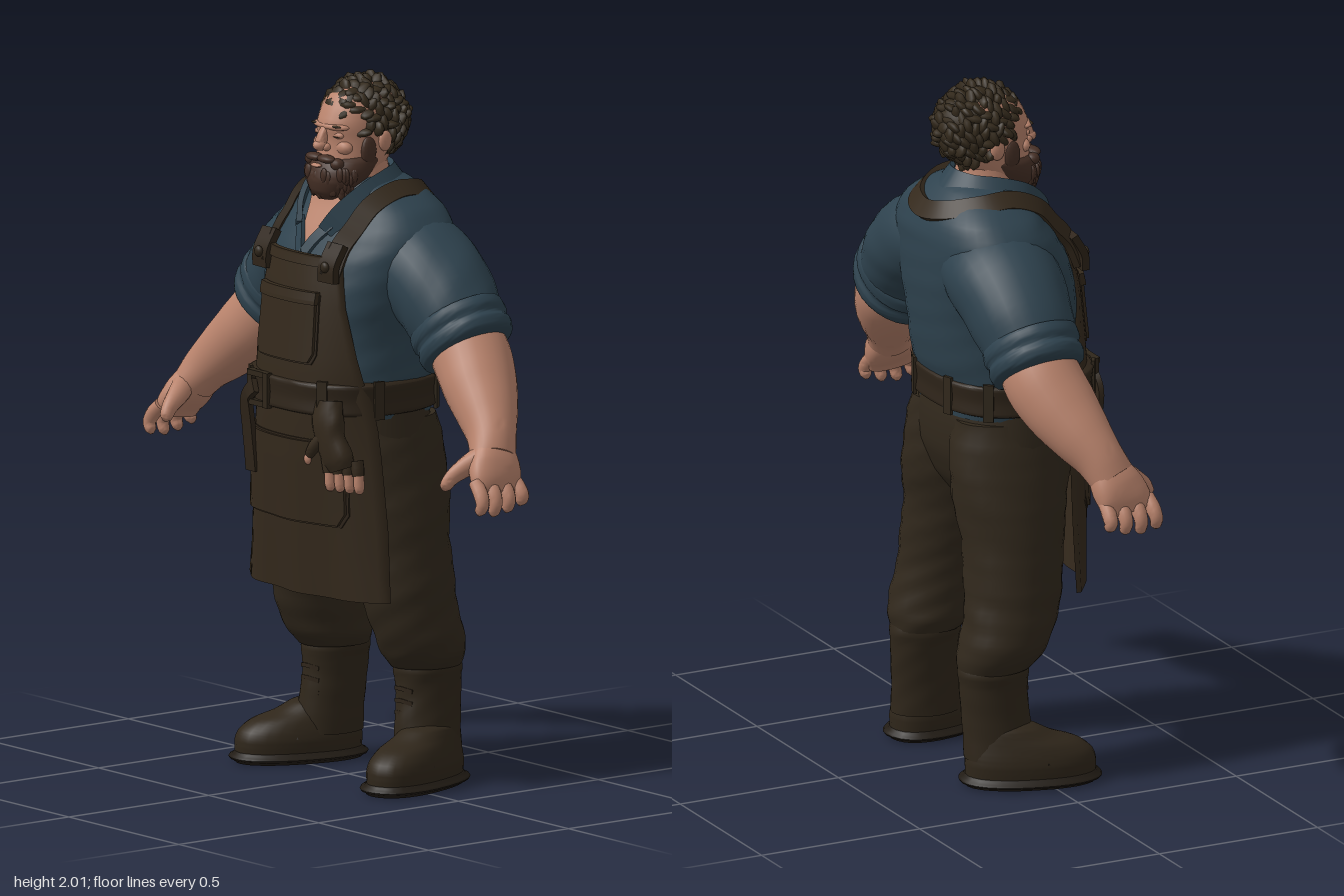
import * as THREE from 'three';
import { mergeGeometries, toCreasedNormals } from 'three/addons/utils/BufferGeometryUtils.js';

const V = (x, y, z) => new THREE.Vector3(x, y, z);
const mat = (name, color) => Object.assign(new THREE.MeshStandardMaterial({ color }), { name });

// Skin a list of equal rings into a closed solid, always facing outwards
function solid(rings) {
  const n = rings[0].length, m = rings.length, idx = [];
  const quad = (a, b, c, d) => idx.push(a, b, c, a, c, d);
  for (let k = 0; k < m - 1; k++) for (let i = 0; i < n; i++) {
    const j = (i + 1) % n;
    quad(k * n + i, k * n + j, (k + 1) * n + j, (k + 1) * n + i);
  }
  const e = (m - 1) * n;
  for (let i = 0; i < n / 2 - 1; i++) {
    quad(i, n - 1 - i, n - 2 - i, i + 1);
    quad(e + i, e + i + 1, e + n - 2 - i, e + n - 1 - i);
  }
  const p = rings.flat();
  let vol = 0;
  for (let i = 0; i < idx.length; i += 3) vol += p[idx[i]].dot(p[idx[i + 1]].clone().cross(p[idx[i + 2]]));
  if (vol < 0) idx.reverse();
  const g = new THREE.BufferGeometry().setFromPoints(p);
  g.setIndex(idx);
  return toCreasedNormals(g, 1);
}

// Loft of rows [x, y, z, ru, rv]; flat keeps sections level, otherwise they follow the path
function loft(rows, { flat = false, p = 2, n = 28, wrinkle = 0, s = 1 } = {}) {
  const path = new THREE.CatmullRomCurve3(rows.map(r => V(r[0] * s, r[1], r[2])));
  const rad = new THREE.CatmullRomCurve3(rows.map(r => V(r[3], r[4], 0)));
  const m = (rows.length - 1) * 4, rings = [];
  for (let k = 0; k <= m; k++) {
    const c = path.getPoint(k / m), r = rad.getPoint(k / m), t = path.getTangent(k / m);
    let u = V(1, 0, 0), v = V(0, 0, 1);
    if (!flat) { v.addScaledVector(t, -t.z).normalize(); u = v.clone().cross(t); }
    rings.push(Array.from({ length: n }, (_, i) => {
      const a = i / n * Math.PI * 2, q = x => Math.sign(x) * Math.abs(x) ** (2 / p);
      const w = 1 + wrinkle * Math.sin(3 * a * s + c.y * 55) * Math.sin(2 * a + c.y * 23);
      return c.clone().addScaledVector(u, q(Math.cos(a)) * r.x * w).addScaledVector(v, q(Math.sin(a)) * r.y * w);
    }));
  }
  return solid(rings);
}
const level = (rows, o) => loft(rows.map(([y, z, rx, rz]) => [0, y, z, rx, rz]), { flat: true, ...o });

// Flat strap along points, its face turned away from a centre
function ribbon(pts, width, thick, centre) {
  const curve = new THREE.CatmullRomCurve3(pts.map(q => V(...q))), m = pts.length * 5;
  return solid(Array.from({ length: m + 1 }, (_, k) => {
    const c = curve.getPoint(k / m), t = curve.getTangent(k / m), o = c.clone().sub(V(...centre));
    o.addScaledVector(t, -o.dot(t)).normalize();
    const w = o.clone().cross(t);
    return [[-1, -1], [1, -1], [1, 1], [-1, 1]].map(([a, b]) =>
      c.clone().addScaledVector(w, a * width / 2).addScaledVector(o, b * thick / 2));
  }));
}
const mirrorPath = pts => [...pts, ...pts.slice(0, -1).reverse().map(([x, y, z]) => [-x, y, z])];

// Linear lookup in a table sorted by falling y
function at(rows, y) {
  let i = 0;
  while (i < rows.length - 2 && y < rows[i + 1][0]) i++;
  const f = THREE.MathUtils.clamp((rows[i][0] - y) / (rows[i][0] - rows[i + 1][0]), 0, 1);
  return rows[i].map((a, k) => a + (rows[i + 1][k] - a) * f);
}
// Sheet of rows [y, xLeft, xRight] lying on the surface z = zf(x, y)
function slab(rows, zf, off, thick, n = 20) {
  const top = rows[0][0], bot = rows[rows.length - 1][0], m = 14;
  return solid(Array.from({ length: m + 1 }, (_, k) => {
    const y = top + (bot - top) * k / m, [, l, r] = at(rows, y);
    const line = d => Array.from({ length: n }, (_, i) => {
      const x = l + (r - l) * i / (n - 1);
      return V(x, y, zf(x, y) + d);
    });
    return [...line(off + thick), ...line(off).reverse()];
  }));
}
const ball = (x, y, z, a, b, c, w = 14, h = 10) => new THREE.SphereGeometry(1, w, h).scale(a, b, c).translate(x, y, z);
const box = (x, y, z, a, b, c) => new THREE.BoxGeometry(a, b, c).translate(x, y, z);

// Torso: y, z centre, half width, half depth
const TORSO = [[1.73, -.05, .08, .08], [1.71, -.06, .13, .11], [1.68, -.07, .19, .13], [1.64, -.075, .25, .155],
  [1.58, -.065, .295, .185], [1.5, -.045, .295, .208], [1.4, -.025, .272, .222], [1.3, -.015, .252, .222],
  [1.2, -.005, .255, .216], [1.15, 0, .255, .208], [1.06, 0, .245, .2]];
const torsoZ = (x, y) => { const [, c, a, b] = at(TORSO, y); return c + b * Math.max(0, 1 - Math.abs(x / a) ** 2.4) ** (1 / 2.4); };

// Apron: y, left edge, right edge, front z, fall-back at the edges
const APRON = [[1.52, -.14, .165, .183, .035], [1.4, -.165, .185, .208, .048], [1.2, -.215, .235, .227, .085],
  [1.08, -.245, .26, .229, .125], [.95, -.265, .275, .222, .125], [.75, -.29, .3, .205, .11], [.55, -.31, .315, .185, .085]];
function apronZ(x, y) {
  const [, l, r, z, d] = at(APRON, y), s = (x - (l + r) / 2) / ((r - l) / 2);
  const ripple = y < 1.05 ? .007 * (1.05 - y) / .5 * Math.sin(9 * s + 1) : 0;
  return z - d * Math.abs(s) ** 2.6 + ripple;
}

export function createModel() {
  const skin = mat('skin', 0xb9836c), shirt = mat('blue shirt', 0x2e424e), leather = mat('apron leather', 0x34291c),
    cloth = mat('trouser cloth', 0x31281c), boot = mat('boot leather', 0x2f261a), sole = mat('boot sole', 0x211b14),
    hair = mat('hair brown', 0x33291b), beardM = mat('beard brown', 0x452f25), belt = mat('belt leather', 0x2e2419);
  const model = new THREE.Group();
  const add = (name, m, ...geos) => {
    const parts = geos.map(q => (q.index ? q.toNonIndexed() : q).deleteAttribute('uv'));
    const mesh = new THREE.Mesh(mergeGeometries(parts), m);
    mesh.name = name;
    model.add(mesh);
  };
  let seed = 7;
  const rnd = () => (seed = (seed * 16807) % 2147483647) / 2147483647;

  // Shirt body, open neck and collar
  add('shirtBody', shirt, level(TORSO, { n: 40, p: 2.4, wrinkle: .008 }));
  add('openNeckSkin', skin, slab([[1.69, -.085, .085], [1.6, -.05, .05], [1.51, -.004, .004]], torsoZ, -.001, .009));
  add('neck', skin, level([[1.6, -.07, .11, .1], [1.68, -.045, .1, .1], [1.74, -.03, .09, .09], [1.82, -.03, .08, .08]]));
  add('collar', shirt, ribbon(mirrorPath([[.065, 1.575, .125], [.095, 1.63, .095], [.122, 1.685, .03], [.115, 1.712, -.05],
    [.075, 1.72, -.12], [0, 1.725, -.15]]), .065, .016, [0, 1.64, -.04]));
  for (const s of [1, -1]) add('placket', shirt, ribbon([[s * .07, 1.6, .117], [s * .035, 1.56, .144], [s * .006, 1.51, .17]], .03, .012, [0, 1.5, -.05]));

  // Head and face
  add('head', skin, level([[1.68, .02, .05, .05], [1.72, .01, .085, .09], [1.78, -.02, .096, .112], [1.83, -.035, .1, .122],
    [1.87, -.037, .1, .128], [1.91, -.045, .1, .12], [1.95, -.05, .085, .1], [1.98, -.05, .04, .05]]));
  add('nose', skin, ball(0, 1.815, .1, .02, .016, .024), loft([[0, 1.865, .08, .013, .012], [0, 1.84, .092, .015, .017], [0, 1.81, .102, .018, .018]]),
    ball(.016, 1.81, .09, .011, .011, .014), ball(-.016, 1.81, .09, .011, .011, .014));
  add('browRidge', skin, ball(0, 1.868, .06, .075, .014, .034));
  for (const s of [1, -1]) {
    add('ear', skin, ball(s * .104, 1.825, -.05, .012, .03, .022));
    add('cheek', skin, ball(s * .045, 1.81, .055, .036, .022, .022));
    add('eyelid', skin, ball(s * .04, 1.845, .068, .022, .011, .012));
    add('eyeLine', hair, ball(s * .04, 1.841, .075, .016, .002, .006));
    add('eyebrow', hair, ball(s * .042, 1.871, .08, .024, .004, .008));
    add('sideburn', beardM, ball(s * .093, 1.8, .0, .013, .042, .026));
    add('moustache', beardM, ball(s * .026, 1.779, .1, .034, .012, .02), ball(s * .058, 1.766, .085, .02, .017, .02));
  }
  add('lowerLip', skin, ball(0, 1.759, .115, .022, .006, .011));
  const whiskers = [];
  for (let i = 0; i < 70; i++) {
    const a = Math.PI * (.02 + .96 * rnd()), y = 1.68 + rnd() * .06, f = .72 + (y - 1.675) * 4;
    whiskers.push(ball(Math.cos(a) * .094 * f, y, .045 + Math.sin(a) * .077 * f, .012, .022, .009, 8, 6));
  }
  add('beard', beardM, level([[1.66, .068, .03, .028], [1.68, .06, .066, .056], [1.72, .04, .097, .084], [1.75, .022, .103, .092],
    [1.77, .005, .102, .095], [1.785, -.01, .095, .085]]), ...whiskers);

  // Curly hair over a cap, fuller at the nape
  const curls = [ball(0, 1.885, -.062, .104, .1, .122, 24, 16)];
  for (let i = 0; i < 240; i++) {
    const v = 1 - 2 * (i + .5) / 240, a = i * 2.39996, h = Math.sqrt(1 - v * v), full = Math.sin(a) < 0 && v < .3 ? 1.08 : 1;
    const x = Math.cos(a) * h * .097, y = 1.872 + v * .11, z = -.054 + Math.sin(a) * h * .115 * full;
    if (y < (z > .01 ? 1.908 : z > -.055 ? 1.85 : 1.76)) continue;
    const g = new THREE.SphereGeometry(1, 8, 6).scale(.02 + rnd() * .01, .013, .032);
    curls.push(g.rotateY(rnd() * 3).rotateX(rnd() * 2).translate(x, y, z));
  }
  add('hair', hair, ...curls);

  // Arms, rolled sleeves and hands
  for (const s of [1, -1]) {
    add('sleeve', shirt, loft([[.06, 1.51, -.085, .12, .14], [.2, 1.485, -.088, .147, .163], [.3, 1.425, -.09, .145, .154],
      [.365, 1.36, -.09, .138, .14], [.41, 1.3, -.09, .13, .124]], { s, wrinkle: .015 }));
    add('rolledCuff', shirt, loft([[.365, 1.36, -.09, .125, .118], [.375, 1.347, -.09, .148, .136], [.393, 1.327, -.09, .152, .138],
      [.405, 1.312, -.09, .143, .13], [.417, 1.297, -.09, .151, .136], [.433, 1.277, -.09, .145, .13], [.44, 1.268, -.09, .115, .105]],
      { s, wrinkle: .012 }));
    add('forearm', skin, loft([[.4, 1.31, -.09, .115, .105], [.455, 1.25, -.085, .113, .112], [.52, 1.185, -.062, .103, .107],
      [.59, 1.12, -.033, .087, .088], [.645, 1.065, -.005, .07, .07], [.68, 1.015, .018, .056, .068]], { s }));
    add('palm', skin, loft([[.64, 1.07, 0, .045, .045], [.69, 1.0, .022, .05, .076], [.715, .96, .037, .038, .08],
      [.728, .925, .042, .025, .07]], { s, p: 2.4 }));
    for (let i = 0; i < 4; i++) {
      const z = -.025 + i * .044, d = [.02, .006, 0, .008][i];
      add('finger', skin, loft([[.715, .96, z, .02, .02], [.745, .93, z * 1.05, .021, .021], [.757, .9 + d * .5, z * 1.08, .019, .019],
        [.748, .875 + d, z * 1.1, .016, .016], [.743, .864 + d, z * 1.1, .005, .005]], { s, n: 12 }));
    }
    add('thumb', skin, loft([[.68, 1.03, .04, .034, .036], [.655, .995, .095, .028, .031], [.641, .965, .136, .021, .023],
      [.635, .94, .153, .016, .018], [.635, .93, .158, .005, .005]], { s, n: 12 }));

    // Trouser legs and boots
    add('trouserLeg', cloth, loft([[.125, 1.05, -.02, .12, .17], [.138, .94, -.03, .135, .18], [.155, .82, -.038, .143, .168], [.177, .7, -.042, .137, .148],
      [.197, .58, -.05, .13, .143], [.21, .5, -.062, .123, .137], [.217, .43, -.08, .121, .132], [.212, .375, -.1, .113, .125],
      [.208, .335, -.115, .09, .106]], { flat: true, s, wrinkle: .024 }));
    add('bootShaft', boot, loft([[.207, .36, -.12, .08, .097], [.209, .325, -.12, .087, .105], [.21, .3, -.12, .082, .102], [.213, .24, -.118, .078, .1],
      [.218, .17, -.112, .078, .102], [.225, .08, -.108, .082, .105]], { flat: true, s, wrinkle: .015 }));
    const turn = g => g.rotateY(s * .3).translate(s * .265, 0, -.03);
    add('bootFoot', boot, turn(level([[.025, 0, .093, .186], [.06, 0, .095, .187], [.09, -.004, .09, .18], [.118, -.02, .08, .158],
      [.14, -.05, .07, .12], [.165, -.07, .058, .09], [.18, -.08, .03, .05]], { p: 2.3 })));
    add('bootSole', sole, turn(level([[0, 0, .093, .186], [.006, 0, .099, .191], [.026, 0, .099, .191], [.032, 0, .093, .186]], { p: 2.3 })));
    add('toeSeam', sole, turn(ribbon([[-.09, .07, .04], [-.058, .118, .055], [0, .132, .06], [.058, .118, .055], [.09, .07, .04]], .012, .006, [0, .04, 0])));
    for (const y of [.2, .235, .27])
      add('bootLace', belt, ribbon([[s * .175, y, -.034], [s * .213, y + .006, -.02], [s * .25, y, -.034]], .012, .01, [s * .213, y, -.12]));
  }
  add('trouserSeat', cloth, level([[1.12, -.005, .24, .19], [1.03, -.015, .255, .192], [.94, -.025, .265, .178], [.85, -.03, .25, .14],
    [.79, -.035, .19, .09], [.765, -.035, .12, .05]], { n: 36, p: 2.1 }));

  // Apron with pockets and shoulder straps
  add('apron', leather, slab(APRON, apronZ, 0, .016, 40));
  const stitched = (name, rows) => {
    add(name + 'Edge', belt, slab(rows.map(([y, l, r], i) => [y + (i ? -.006 : .006), l - .006, r + .006]), apronZ, .01, .01));
    add(name, leather, slab(rows, apronZ, .014, .014));
  };
  stitched('bibPocket', [[1.41, -.12, .125], [1.25, -.125, .13], [1.225, -.11, .115]]);
  stitched('lapPocket', [[1.0, -.21, .21], [.8, -.225, .22], [.765, -.205, .2]]);
  add('bibPocketFlap', leather, slab([[1.425, -.125, .13], [1.39, -.125, .13]], apronZ, .018, .016));
  add('bibHem', leather, slab([[1.525, -.142, .167], [1.495, -.145, .17]], apronZ, .008, .016));
  add('shoulderStraps', leather, ribbon(mirrorPath([[.148, 1.47, .183], [.15, 1.55, .146], [.155, 1.6, .1], [.163, 1.655, .05], [.168, 1.692, -.04],
    [.155, 1.686, -.125], [.085, 1.663, -.208], [0, 1.65, -.23]]), .056, .02, [0, 1.52, -.05]));
  for (const s of [1, -1]) {
    add('strapTab', belt, ribbon([[s * .15, 1.455, .19], [s * .15, 1.5, .188], [s * .15, 1.56, .155]], .066, .022, [s * .14, 1.45, 0]));
    add('strapButton', boot, ball(s * .15, 1.5, .203, .016, .016, .01));
  }

  // Belt, loops, buckle and hanging end
  const beltRows = [[1.075, .018, .256, .222], [1.083, .018, .267, .235], [1.12, .018, .263, .231], [1.162, .018, .267, .235], [1.17, .018, .256, .222]];
  add('belt', belt, level(beltRows, { n: 48, p: 2.5 }));
  for (const a of [.25, 1, 2.1, 2.9, 3.8, 4.4, 5.02, 5.6]) {
    const q = x => Math.sign(x) * Math.abs(x) ** (2 / 2.5);
    add('beltLoop', cloth, new THREE.BoxGeometry(.03, .11, .01).rotateY(Math.PI / 2 - a)
      .translate(q(Math.cos(a)) * .267, 1.122, .018 + q(Math.sin(a)) * .234));
  }
  add('buckle', boot, box(-.13, 1.122, .242, .02, .1, .02), box(-.05, 1.122, .25, .02, .1, .02),
    box(-.09, 1.164, .247, .09, .016, .02), box(-.09, 1.08, .247, .09, .016, .02));
  add('hangingStrap', belt, ribbon([[-.1, 1.13, .254], [-.145, 1.09, .248], [-.152, 1.0, .236], [-.148, .92, .23], [-.148, .875, .226]], .045, .016, [-.14, 1, 0]));

  // Fingerless glove tucked in the belt
  add('gloveBody', leather, loft([[.165, 1.12, .2, .05, .03], [.172, 1.06, .208, .058, .036], [.185, 1.01, .208, .052, .034],
    [.205, .96, .2, .058, .034], [.215, .93, .195, .05, .026]], { n: 20, wrinkle: .03 }));
  for (let i = 0; i < 4; i++) {
    const x = .172 + i * .03, z = .21 - i * .011;
    add('gloveFinger', leather, loft([[x, .96, z, .018, .02], [x + .006, .935, z, .018, .019], [x + .008, .918, z, .016, .018]], { n: 12 }));
    add('gloveFingertip', skin, loft([[x + .008, .93, z, .014, .015], [x + .012, .89, z, .015, .016], [x + .014, .872, z, .012, .012],
      [x + .015, .866, z, .005, .005]], { n: 12 }));
  }
  add('gloveThumb', leather, loft([[.165, 1.02, .22, .02, .02], [.135, .985, .23, .018, .018], [.118, .962, .23, .015, .015]], { n: 12 }));
  add('gloveThumbTip', skin, ball(.113, .95, .23, .014, .018, .014));
  return model;
}
